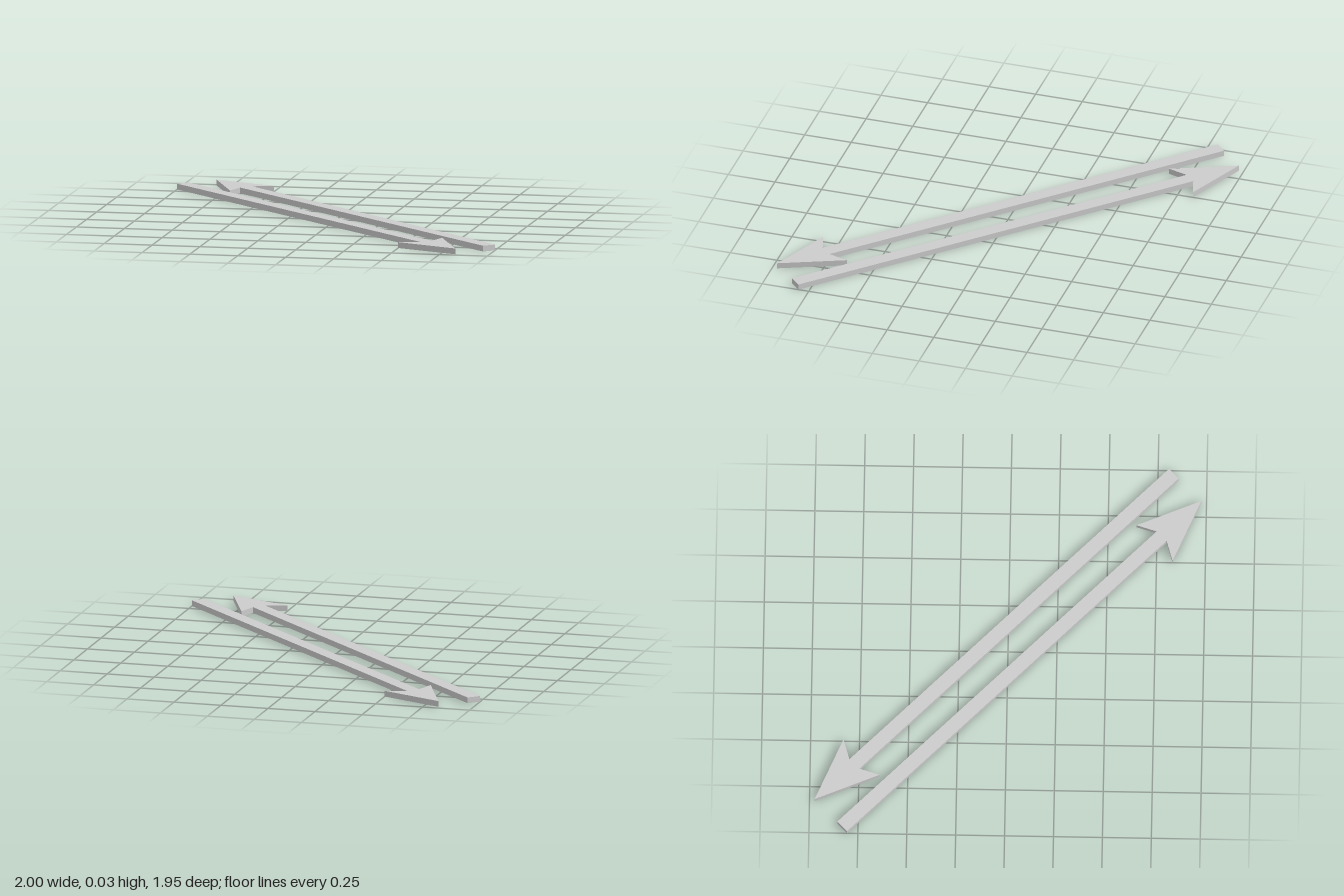
import * as THREE from 'three';

const THICKNESS = 0.03;

// Arrow outline on the ground as [x, z]: tip, barb, notch, tail, tail, notch, barb
const OUTLINE = [
  [0.828, 0.974], [0.69, 0.644], [0.658, 0.748], [-0.948, -0.856],
  [-1, -0.806], [0.608, 0.8], [0.5, 0.832],
];

function makeArrow(name, material, turn) {
  const shape = new THREE.Shape(OUTLINE.map(([x, z]) => new THREE.Vector2(x, -z)));
  const geometry = new THREE.ExtrudeGeometry(shape, { depth: THICKNESS, bevelEnabled: false });
  geometry.rotateX(-Math.PI / 2); // lay flat, thickness upward
  const mesh = new THREE.Mesh(geometry, material);
  mesh.name = name;
  mesh.rotation.y = turn;
  return mesh;
}

export function createModel() {
  const group = new THREE.Group();
  group.name = 'opposingArrows';
  const material = new THREE.MeshStandardMaterial({ color: 0xcccccc, flatShading: true });
  // Two identical arrows, half a turn apart
  group.add(makeArrow('frontArrow', material, 0));
  group.add(makeArrow('backArrow', material, Math.PI));
  return group;
}
